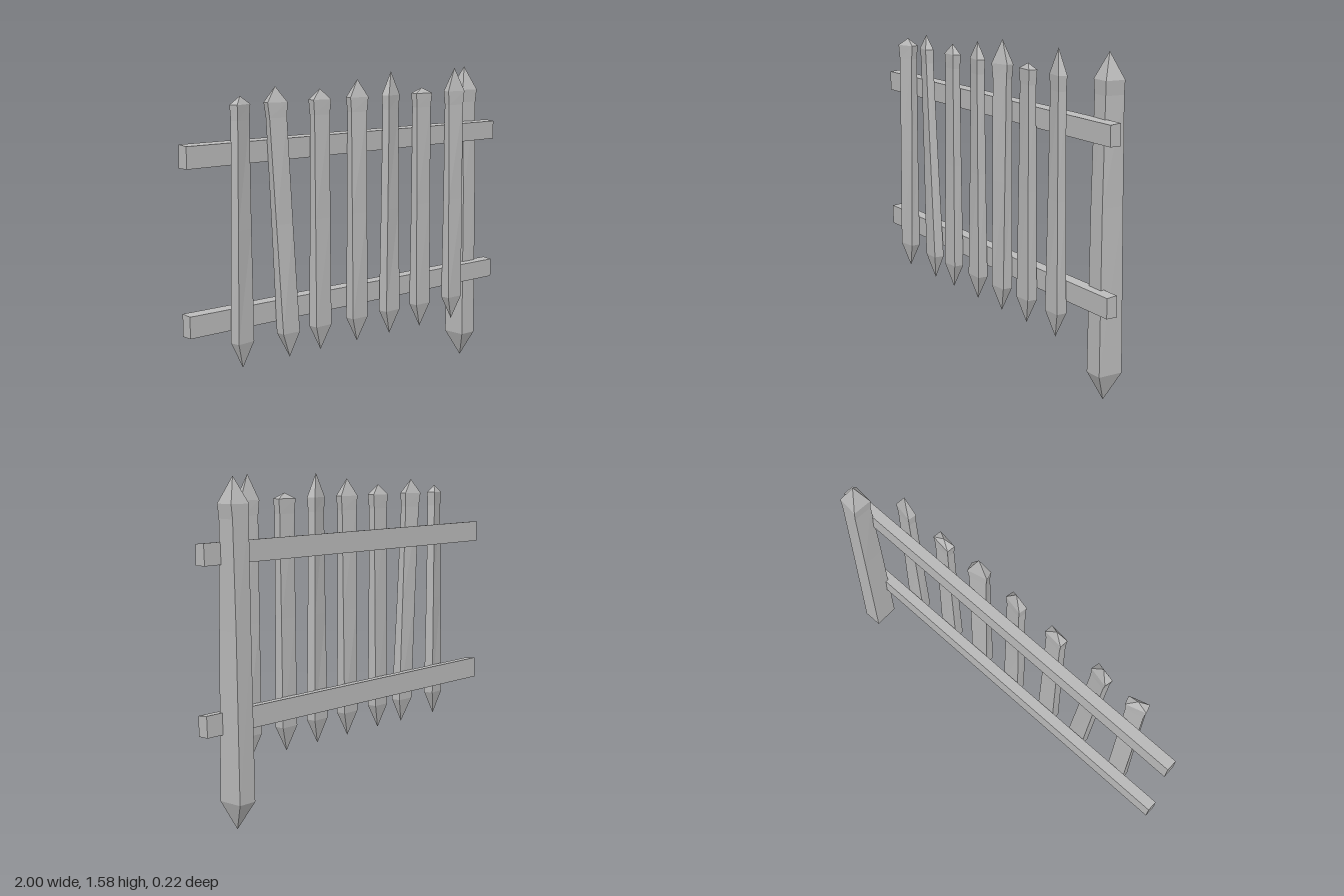
import * as THREE from 'three';

const wood = new THREE.MeshStandardMaterial({ color: 0xbababa, flatShading: true });
wood.name = 'greyWood';

// Four-sided stake: rings of [y, width, depth, yaw, x, z], pointed at both ends.
function stake(name, bottomTip, rings, topTip) {
  const loops = rings.map(([y, w, d, yaw, x, z]) =>
    [[-1, 1], [1, 1], [1, -1], [-1, -1]].map(([sx, sz]) => {
      const px = sx * w / 2, pz = sz * d / 2;
      const c = Math.cos(yaw), s = Math.sin(yaw);
      return [x + px * c + pz * s, y, z - px * s + pz * c];
    }));
  const pos = [];
  const tri = (...points) => points.forEach((p) => pos.push(...p));
  const last = loops[loops.length - 1];
  for (let i = 0; i < 4; i++) {
    const j = (i + 1) % 4;
    tri(bottomTip, loops[0][j], loops[0][i]);
    for (let k = 0; k + 1 < loops.length; k++) {
      const a = loops[k], b = loops[k + 1];
      tri(a[i], a[j], b[j]);
      tri(a[i], b[j], b[i]);
    }
    tri(last[i], last[j], topTip);
  }
  const geometry = new THREE.BufferGeometry();
  geometry.setAttribute('position', new THREE.Float32BufferAttribute(pos, 3));
  geometry.computeVertexNormals();
  const mesh = new THREE.Mesh(geometry, wood);
  mesh.name = name;
  return mesh;
}

// Long rail whose top edge drops slightly towards +x.
function rail(name, bottom) {
  const geometry = new THREE.BoxGeometry(2, 0.1, 0.057).toNonIndexed();
  const p = geometry.attributes.position;
  for (let i = 0; i < p.count; i++) {
    const right = p.getX(i) > 0, top = p.getY(i) > 0, front = p.getZ(i) > 0;
    p.setY(i, bottom + (top ? (right ? 0.094 : 0.1) + (front ? 0 : 0.005) : 0));
    p.setZ(i, front ? (right ? 0.05 : 0.047) : (right ? -0.006 : -0.012) + (top ? 0.004 : 0));
  }
  geometry.computeVertexNormals();
  const mesh = new THREE.Mesh(geometry, wood);
  mesh.name = name;
  return mesh;
}

export function createModel() {
  const fence = new THREE.Group();
  fence.name = 'picketFence';
  fence.add(rail('lowerRail', 0.435), rail('upperRail', 1.19));

  // Pickets: bottom x, top x, tip height, bottom yaw, top yaw
  const pickets = [
    [-0.735, -0.73, 1.497, 0.12, 0.3],
    [-0.457, -0.53, 1.532, -0.03, -0.22],
    [-0.264, -0.262, 1.51, 0.03, -0.1],
    [-0.025, -0.024, 1.545, 0, -0.2],
    [0.198, 0.2, 1.575, 0.05, 0.25],
    [0.416, 0.417, 1.487, 0, -0.12],
    [0.655, 0.656, 1.578, 0, -0.2],
  ];
  const z = 0.079;
  for (const [x0, x1, tip, yaw0, yaw1] of pickets) {
    const at = (y) => x0 + (x1 - x0) * (y - 0.26) / 1.24;
    const ring = (y, w, d) => {
      const t = (y - 0.38) / 1.08;
      return [y, w, d, yaw0 + (yaw1 - yaw0) * t, at(y), z];
    };
    fence.add(stake('picket', [x0, 0.26, z],
      [ring(0.38, 0.097, 0.051), ring(0.9, 0.09, 0.043), ring(1.39, 0.088, 0.038), ring(1.46, 0.1, 0.042)],
      [x1, tip, z]));
  }

  // Heavy ground post behind the rails
  fence.add(stake('groundPost', [0.862, 0, -0.042], [
    [0.13, 0.094, 0.125, 0, 0.862, -0.047],
    [0.9, 0.088, 0.11, -0.03, 0.861, -0.044],
    [1.39, 0.09, 0.094, -0.08, 0.861, -0.045],
    [1.455, 0.1, 0.096, -0.08, 0.862, -0.043],
  ], [0.862, 1.575, -0.042]));
  return fence;
}
